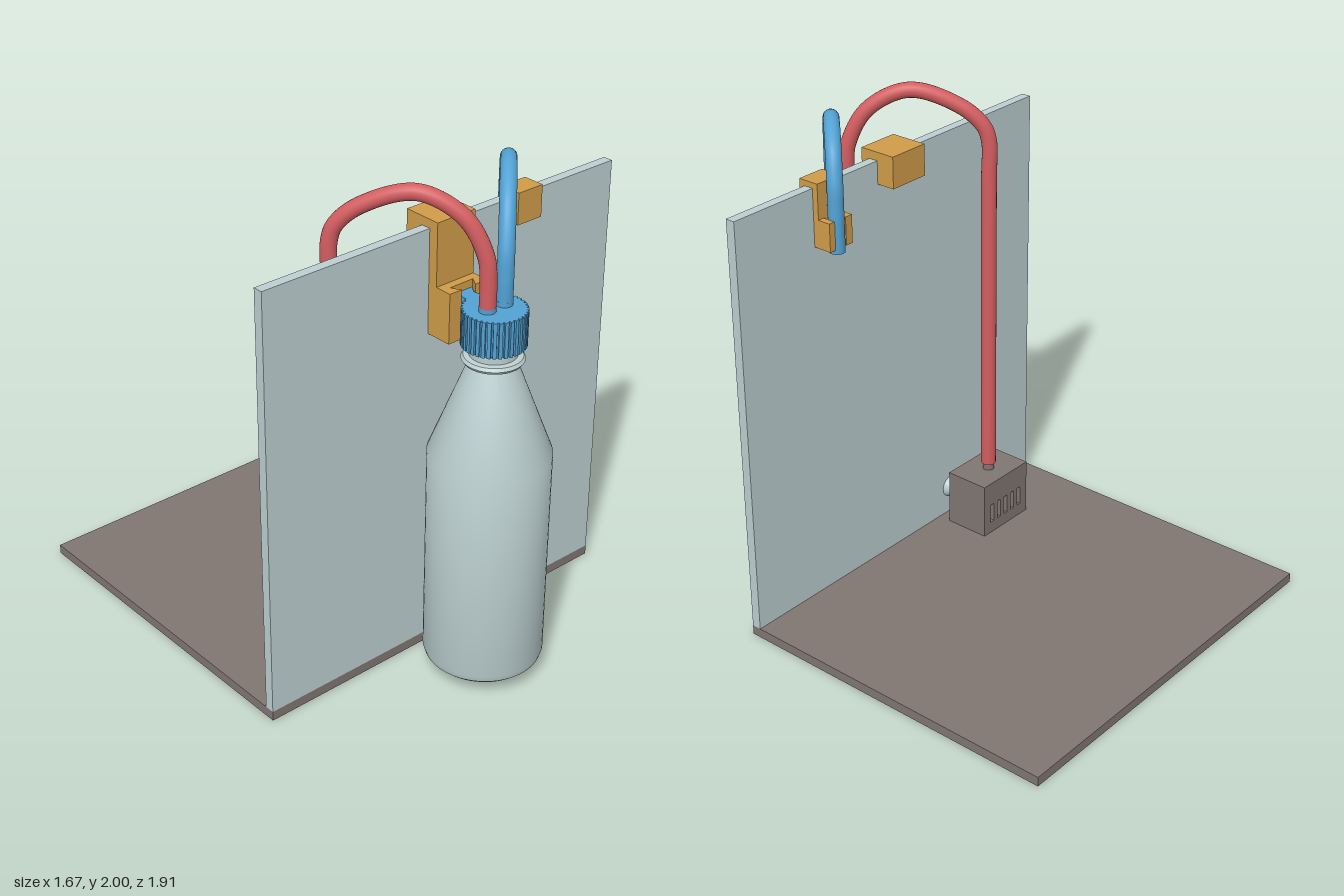
import * as THREE from 'three';
import { toCreasedNormals } from 'three/addons/utils/BufferGeometryUtils.js';

const material = (name, color, side = THREE.FrontSide) => {
  const m = new THREE.MeshStandardMaterial({ color, side });
  m.name = name;
  return m;
};

export function createModel() {
  const model = new THREE.Group();
  const glass = material('pale glass', 0xbccfd0);
  const stone = material('grey brown', 0x807671);
  const amber = material('amber plastic', 0xd09c4a);
  const blue = material('blue plastic', 0x52a2d4, THREE.DoubleSide);
  const red = material('red hose', 0xd35d60, THREE.DoubleSide);

  const group = (name) => {
    const g = new THREE.Group();
    g.name = name;
    model.add(g);
    return g;
  };
  const add = (name, geometry, mat, parent = model) => {
    const mesh = new THREE.Mesh(geometry, mat);
    mesh.name = name;
    parent.add(mesh);
    return mesh;
  };
  // Box given by its limits on each axis
  const box = (name, [x0, x1], [y0, y1], [z0, z1], mat, parent) =>
    add(name, new THREE.BoxGeometry(x1 - x0, y1 - y0, z1 - z0)
      .translate((x0 + x1) / 2, (y0 + y1) / 2, (z0 + z1) / 2), mat, parent);
  const cylinder = (name, r0, r1, h, x, y, z, mat, parent) => {
    const mesh = add(name, new THREE.CylinderGeometry(r1, r0, h, 32), mat, parent);
    mesh.position.set(x, y, z);
    return mesh;
  };
  // Plan outline in (x, z), raised from y0 to y1
  const plan = (points, y0, y1) => {
    const shape = new THREE.Shape(points.map(([x, z]) => new THREE.Vector2(x, -z)));
    return new THREE.ExtrudeGeometry(shape, { depth: y1 - y0, bevelEnabled: false })
      .rotateX(-Math.PI / 2).translate(0, y0, 0);
  };
  const bottleZ = 0.725;

  // Tank: base slab and upright pane
  box('base', [-0.835, 0.835], [0, 0.04], [-0.955, 0.48], stone);
  box('glassPane', [-0.835, 0.835], [0.04, 1.785], [0.44, 0.48], glass);

  // Bottle
  const profile = [[0, 0.055], [0.2, 0.055], [0.222, 0.075], [0.23, 0.1], [0.23, 0.96],
    [0.122, 1.24], [0.105, 1.285], [0.086, 1.33], [0.108, 1.333], [0.116, 1.345],
    [0.108, 1.357], [0.088, 1.36], [0.088, 1.41], [0, 1.41]];
  const bottle = add('bottle', toCreasedNormals(new THREE.LatheGeometry(
    profile.map(([r, y]) => new THREE.Vector2(r, y)), 64), 0.45), glass);
  bottle.position.z = bottleZ;

  // Ribbed cap with hose collars and a dovetail tongue
  const cap = group('cap');
  const ribs = 36, outline = [];
  for (let i = 0; i < ribs; i++) {
    [[0, 0.12], [0.62, 0.12], [0.68, 0.112], [0.94, 0.112]].forEach(([f, r]) => {
      const a = ((i + f) / ribs) * Math.PI * 2;
      outline.push([r * Math.cos(a), bottleZ + r * Math.sin(a)]);
    });
  }
  add('ribbedCap', plan(outline, 1.4, 1.54), blue, cap);
  add('dovetailTongue', plan([[-0.03, 0.63], [0.03, 0.63], [0.03, 0.585], [0.052, 0.555],
    [-0.052, 0.555], [-0.03, 0.585]], 1.4, 1.54), blue, cap);
  for (const x of [-0.037, 0.045]) {
    cylinder('hoseCollar', 0.031, 0.031, 0.02, x, 1.548, bottleZ, blue, cap);
  }

  // Wide hanger that holds the cap
  const hanger = group('bottleHanger');
  const w = [-0.09, 0.09];
  box('hangerTop', w, [1.785, 1.82], [0.36, 0.52], amber, hanger);
  box('hangerBackPlate', w, [1.69, 1.785], [0.36, 0.44], amber, hanger);
  box('hangerFrontPlate', w, [1.57, 1.785], [0.48, 0.52], amber, hanger);
  box('hangerFloor', w, [1.37, 1.4], [0.48, 0.59], amber, hanger);
  add('hangerSocket', plan([[-0.09, 0.48], [0.09, 0.48], [0.09, 0.59], [0.033, 0.59],
    [0.055, 0.553], [-0.055, 0.553], [-0.033, 0.59], [-0.09, 0.59]], 1.4, 1.57), amber, hanger);

  // Small clip that guides the blue hose
  const clip = group('hoseClip');
  const c = [0.32, 0.44];
  box('clipTop', c, [1.785, 1.808], [0.415, 0.505], amber, clip);
  box('clipFrontPlate', c, [1.68, 1.785], [0.48, 0.505], amber, clip);
  box('clipBackPlate', c, [1.55, 1.785], [0.415, 0.44], amber, clip);
  for (const x of [[0.32, 0.354], [0.412, 0.44]]) {
    box('clipProng', x, [1.55, 1.665], [0.36, 0.415], amber, clip);
  }

  // Hoses: each point is (progress along the plan line, height)
  const hose = (name, from, to, points, mat) => {
    const path = new THREE.CatmullRomCurve3(points.map(([t, y]) => new THREE.Vector3(
      from[0] + (to[0] - from[0]) * t, y, from[1] + (to[1] - from[1]) * t)));
    const g = group(name);
    add(name + 'Tube', new THREE.TubeGeometry(path, 160, 0.031, 20), mat, g);
    const end = add(name + 'End', new THREE.CircleGeometry(0.031, 20).rotateX(Math.PI / 2), mat, g);
    end.position.copy(path.getPoint(1));
  };
  hose('redHose', [-0.037, 0.725], [-0.385, 0.285],
    [[0, 1.555], [0, 1.65], [0.02, 1.75], [0.16, 1.89], [0.45, 1.969], [0.8, 1.905],
      [0.96, 1.825], [1, 1.76], [1, 1.6], [1, 0.31]], red);
  hose('blueHose', [0.045, 0.725], [0.383, 0.38],
    [[0, 1.555], [0, 1.65], [0.03, 1.75], [0.2, 1.89], [0.55, 1.969], [0.86, 1.91],
      [0.98, 1.8], [1, 1.7], [1, 1.53]], blue);

  // Pump with a slotted intake grille at the back
  const pump = group('pump');
  box('pumpBody', [-0.525, -0.245], [0.04, 0.28], [0.21, 0.385], stone, pump);
  const face = new THREE.Shape([[-0.525, 0.04], [-0.245, 0.04], [-0.245, 0.28], [-0.525, 0.28]]
    .map(([x, y]) => new THREE.Vector2(x, y)));
  for (let i = 0; i < 5; i++) {
    const x = -0.385 + (i - 2) * 0.044;
    face.holes.push(new THREE.Path([[x - 0.011, 0.09], [x - 0.011, 0.175],
      [x + 0.011, 0.175], [x + 0.011, 0.09]].map(([u, v]) => new THREE.Vector2(u, v))));
  }
  add('intakeGrille', new THREE.ExtrudeGeometry(face, { depth: 0.02, bevelEnabled: false })
    .translate(0, 0, 0.19), stone, pump);
  cylinder('pumpOutlet', 0.024, 0.024, 0.05, -0.385, 0.295, 0.285, stone, pump);

  // Suction cups against the pane
  for (const x of [-0.455, -0.315]) {
    const cup = cylinder('suctionCup', 0.02, 0.047, 0.055, x, 0.162, 0.4125, glass, pump);
    cup.rotation.x = Math.PI / 2;
  }

  return model;
}
